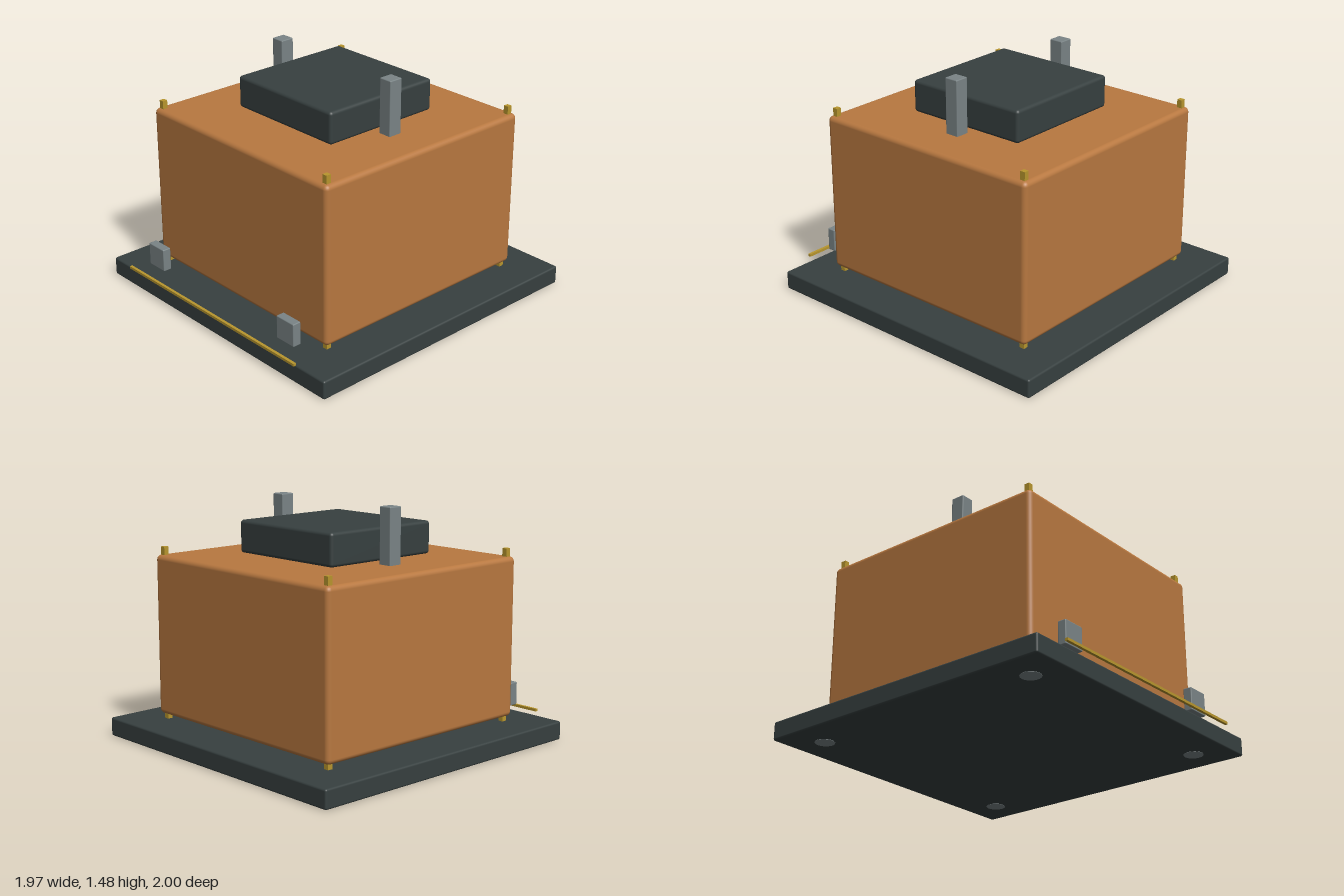
import * as THREE from 'three';
import { RoundedBoxGeometry } from 'three/addons/geometries/RoundedBoxGeometry.js';

const material = (name, color) => {
  const m = new THREE.MeshStandardMaterial({ color });
  m.name = name;
  return m;
};

export function createModel() {
  const model = new THREE.Group();
  model.name = 'housing';
  const copper = material('copper', 0xb87840);
  const dark = material('dark slate', 0x374040);
  const steel = material('steel grey', 0x7a8486);
  const brass = material('brass', 0xb8962e);
  const cz = -0.017; // centre of the main stack in z

  const add = (name, geometry, mat, x, y, z) => {
    const mesh = new THREE.Mesh(geometry, mat);
    mesh.name = name;
    mesh.position.set(x, y, z);
    model.add(mesh);
    return mesh;
  };
  // Box spanning y0 to y1, with rounded edges when r > 0
  const box = (name, mat, w, y0, y1, d, x, z, r = 0) => {
    const h = y1 - y0;
    const geometry = r ? new RoundedBoxGeometry(w, h, d, 3, r) : new THREE.BoxGeometry(w, h, d);
    return add(name, geometry, mat, x, (y0 + y1) / 2, z);
  };
  const disc = (name, mat, radius, y0, y1, x, z) =>
    add(name, new THREE.CylinderGeometry(radius, radius, y1 - y0, 48), mat, x, (y0 + y1) / 2, z);

  // Main stack
  box('basePlate', dark, 1.965, 0.002, 0.118, 1.965, 0, cz, 0.012);
  disc('lowerCollar', brass, 0.235, 0.11, 0.16, 0, cz);
  box('body', copper, 1.54, 0.15, 1.14, 1.54, 0, cz, 0.03);
  disc('upperCollar', steel, 0.278, 1.13, 1.17, 0, cz);
  box('cap', dark, 0.81, 1.155, 1.355, 0.81, 0, cz, 0.02);

  // Paired uprights, front blocks, corner pins and underside pads
  for (const sx of [-1, 1]) {
    box('upright', steel, 0.088, 1.13, 1.48, 0.09, sx * 0.469, cz, 0.006);
    box('frontBlock', steel, 0.145, 0.175, 0.32, 0.055, sx * 0.6, 0.885, 0.006);
    for (const sz of [-1, 1]) {
      box('cornerPin', brass, 0.032, 0.11, 1.19, 0.032, sx * 0.727, cz + sz * 0.728);
      disc('footPad', steel, 0.06, 0, 0.006, sx * 0.77, cz + sz * 0.77);
    }
  }

  // Thin rail in front of the base
  box('frontRail', brass, 1.54, 0.134, 0.15, 0.018, 0, 0.99);

  return model;
}
